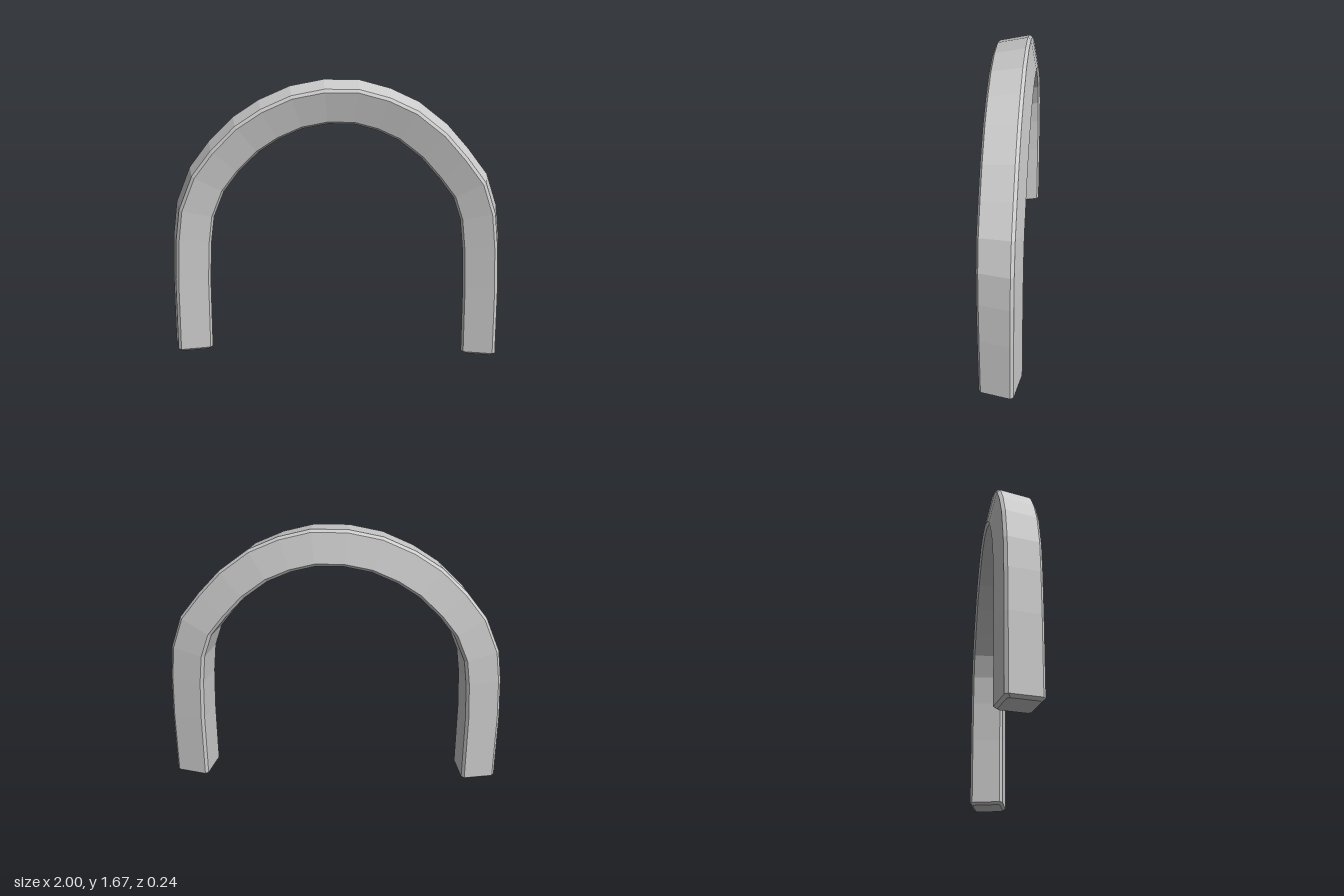
import * as THREE from 'three';

// Outer edge of the arch, from the foot at -x over the crown to the foot at +x
const PATH = [
  [-1, 0.047], [-1, 0.063], [-0.998, 0.5], [-0.985, 0.75], [-0.96, 0.94], [-0.875, 1.15],
  [-0.757, 1.305], [-0.61, 1.45], [-0.457, 1.55], [-0.275, 1.63], [-0.077, 1.668],
  [0.13, 1.665], [0.313, 1.615], [0.484, 1.535], [0.655, 1.4], [0.783, 1.255], [0.9, 1.1],
  [0.965, 0.904], [0.987, 0.695], [0.998, 0.43], [1, 0.016], [1, 0],
].map(([x, y]) => new THREE.Vector2(x, y));

const HALF = 0.104, BEVEL = 0.016, TILT = 0.209, REACH = 0.12;

// Bevelled square, tilted about the path; x points outward, y points to the front
function section() {
  const a = HALF, b = HALF - BEVEL;
  return [[a, -b], [a, b], [b, a], [-b, a], [-a, b], [-a, -b], [-b, -a], [b, -a]]
    .map(([u, v]) => new THREE.Vector2(u, v).rotateAround(new THREE.Vector2(), TILT));
}

// Mitred outward normal at a path point
function outward(i) {
  const normal = (p, q) => new THREE.Vector2(p.y - q.y, q.x - p.x).normalize();
  const last = PATH.length - 1;
  const n0 = normal(PATH[Math.max(i - 1, 0)], PATH[Math.max(i, 1)]);
  const n1 = normal(PATH[Math.min(i, last - 1)], PATH[Math.min(i + 1, last)]);
  const n = n0.clone().add(n1).normalize();
  return n.divideScalar(n.dot(n0));
}

function archGeometry() {
  const ring = section(), k = ring.length, last = PATH.length - 1;
  const positions = [], indices = [];
  PATH.forEach((p, i) => {
    const n = outward(i);
    const s = i === 0 || i === last ? 1 - BEVEL / HALF : 1; // bevelled feet
    for (const c of ring) {
      const r = c.x * s - REACH;
      positions.push(p.x + n.x * r, p.y + n.y * r, c.y * s);
    }
  });
  for (let i = 0; i < last; i++) {
    for (let j = 0; j < k; j++) {
      const a = i * k + j, b = i * k + (j + 1) % k;
      indices.push(a, b, a + k, b, b + k, a + k);
    }
  }
  // Caps under both feet
  const e = last * k;
  for (let j = 1; j < k - 1; j++) indices.push(0, j + 1, j, e, e + j, e + j + 1);
  const g = new THREE.BufferGeometry();
  g.setAttribute('position', new THREE.Float32BufferAttribute(positions, 3));
  g.setIndex(indices);
  const flat = g.toNonIndexed();
  flat.computeVertexNormals();
  return flat;
}

export function createModel() {
  const group = new THREE.Group();
  group.name = 'archway';
  const arch = new THREE.Mesh(
    archGeometry(),
    new THREE.MeshStandardMaterial({ color: 0xcccccc, flatShading: true }),
  );
  arch.name = 'arch';
  group.add(arch);
  return group;
}
